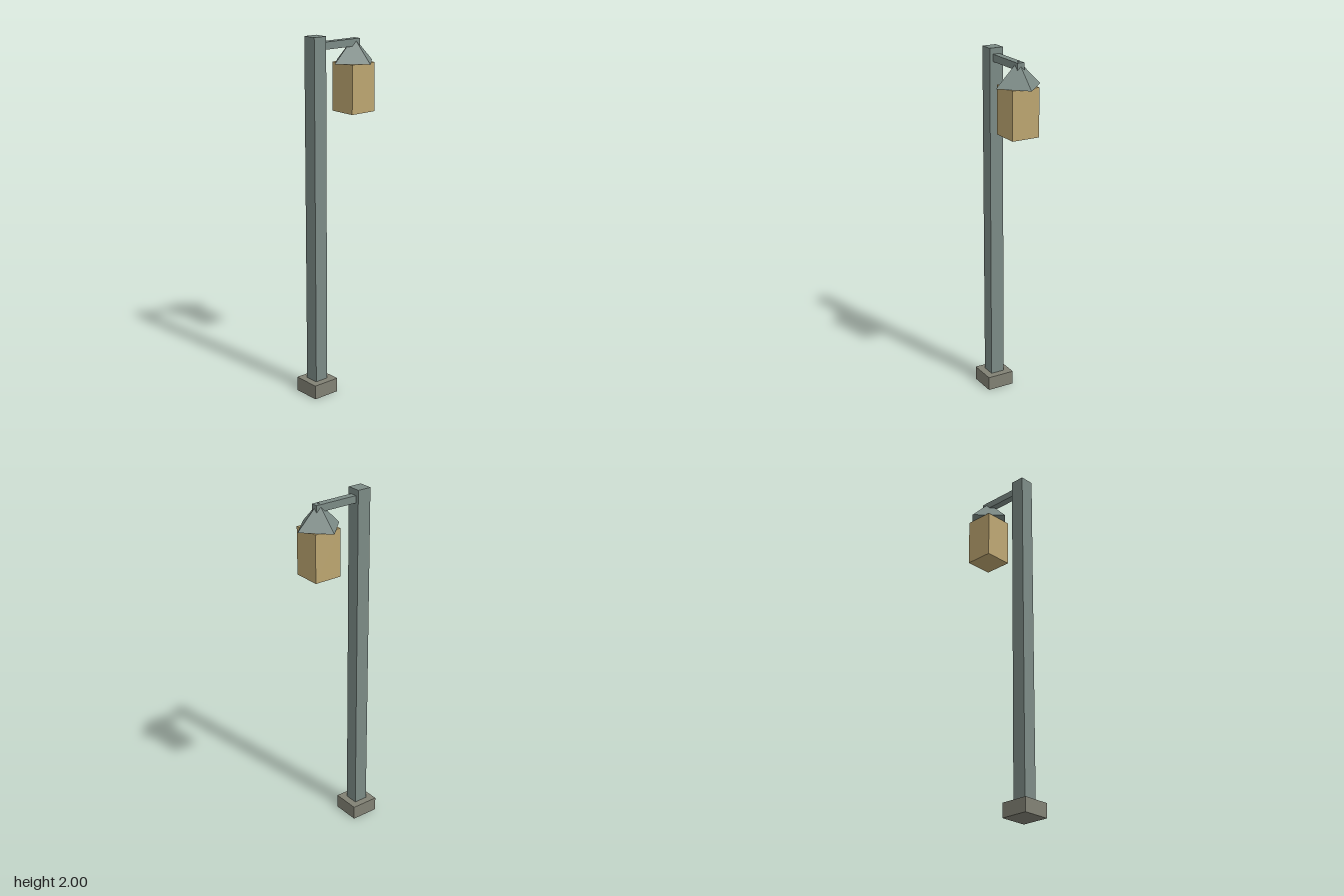
import * as THREE from 'three';

export function createModel() {
  const group = new THREE.Group();
  const U = 2 / 75; // the lamp is 75 units tall
  const material = (color) => new THREE.MeshStandardMaterial({ color, flatShading: true });
  const metal = material(0x7b8a85);
  const stone = material(0x818174);
  const glass = material(0xbca570);

  // Adds a mesh with its centre given in units
  const add = (name, geometry, mat, x, y) => {
    const mesh = new THREE.Mesh(geometry, mat);
    mesh.name = name;
    mesh.position.set(x * U, y * U, 0);
    group.add(mesh);
  };
  const box = (w, h, d) => new THREE.BoxGeometry(w * U, h * U, d * U);

  // Footing, square post and the arm reaching over the lantern
  add('base', box(6, 3, 6), stone, -6, 1.5);
  add('post', box(3, 72, 3), metal, -6, 39);
  add('arm', box(9.5, 1.5, 1.5), metal, 0.25, 73);

  // Lantern body under a pyramid roof turned 45 degrees to it
  add('lantern', box(6, 10, 6), glass, 4, 64);
  add('lanternRoof', new THREE.ConeGeometry(5 * U, 5 * U, 4), metal, 4, 71.5);

  return group;
}
